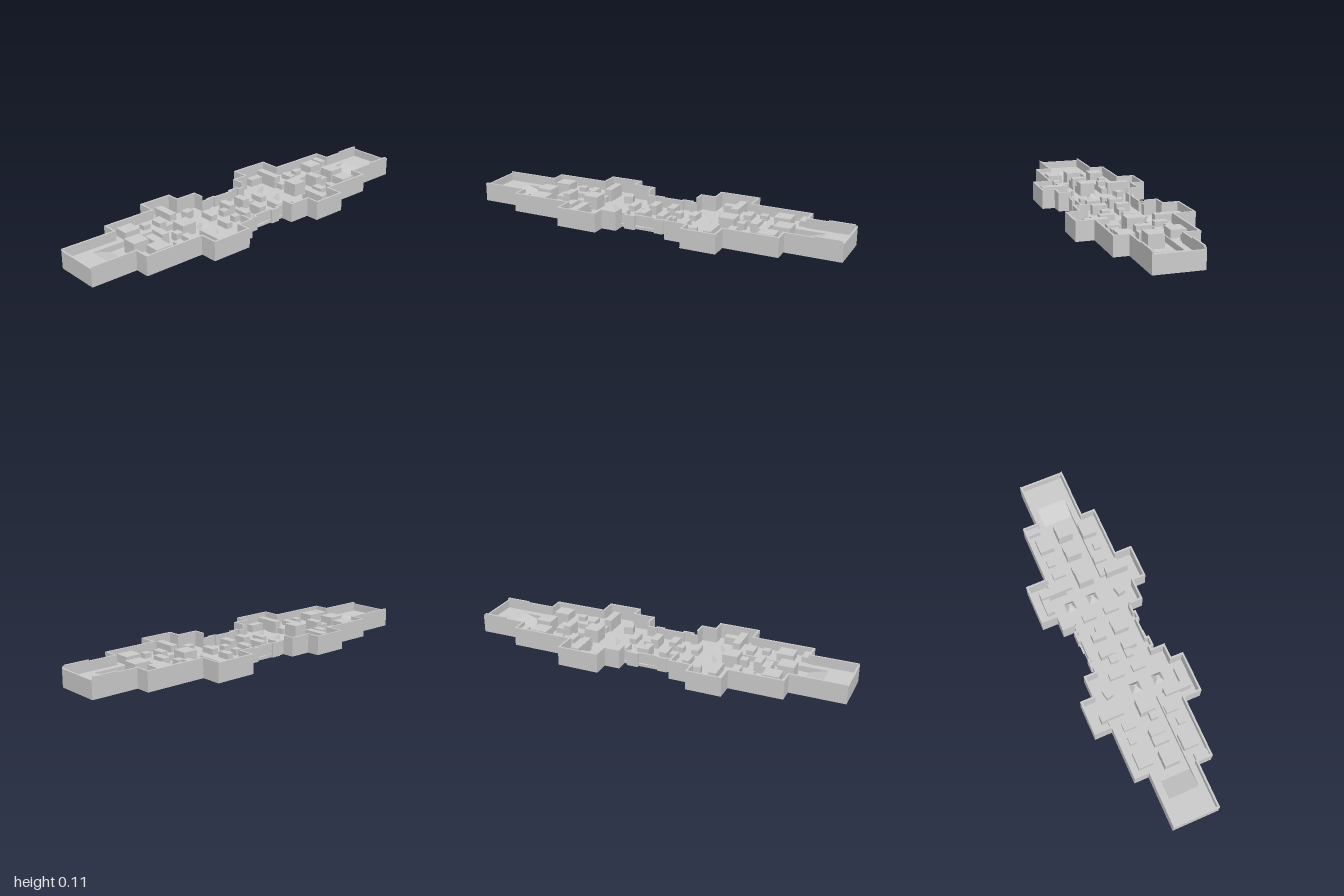
import * as THREE from 'three';

const LOW = 0.02, HIGH = 0.05;   // central floor and raised floor levels
const T = 0.01;                  // wall thickness

export function createModel() {
  const model = new THREE.Group();
  const solid = new THREE.MeshStandardMaterial({ color: 0xcccccc });
  const sheet = new THREE.MeshStandardMaterial({ color: 0xcccccc, side: THREE.DoubleSide });

  const add = (parent, name, geo, mat = solid) => {
    const mesh = new THREE.Mesh(geo, mat);
    mesh.name = name;
    parent.add(mesh);
    return mesh;
  };

  // The arena repeats after half a turn about x = 0.009
  const place = (turn, x, z) => turn
    ? [Math.max(-0.3, Math.min(0.3, 0.018 - x)), -z]
    : [x, z];

  // Perimeter of the back half: x, z, height of the wall that starts there
  const halfOutline = [
    [-0.15, -0.055, 0.075], [-0.165, -0.055, 0.075], [-0.165, -0.115, 0.075],
    [-0.15, -0.115, 0.075], [-0.15, -0.135, 0.1], [-0.215, -0.135, 0.1],
    [-0.215, -0.215, 0.1], [-0.3, -0.215, 0.1], [-0.3, -0.435, 0.1],
    [-0.19, -0.435, 0.1], [-0.19, -0.757, 0.1], [-0.112, -0.757, 0.1],
    [-0.112, -1, 0.09], [0.132, -1, 0.1], [0.132, -0.715, 0.1],
    [0.208, -0.715, 0.1], [0.208, -0.435, 0.1], [0.3, -0.435, 0.1],
    [0.3, -0.25, 0.1], [0.232, -0.25, 0.1], [0.232, -0.135, 0.1],
    [0.165, -0.135, 0.075], [0.165, -0.1, 0.075], [0.177, -0.1, 0.075],
    [0.177, -0.05, 0.075], [0.165, -0.05, 0.075],
  ];
  const outline = [false, true].flatMap(turn =>
    halfOutline.map(([x, z, h]) => [...place(turn, x, z), h]));
  // Align the two half turns across the middle
  const n = outline.length;
  outline.forEach((p, i) => { if (Math.abs(p[0] - 0.168) < 0.004) p[0] = 0.165;
    if (Math.abs(p[0] + 0.147) < 0.004) p[0] = -0.15; });

  const inward = i => {
    const a = outline[i % n], b = outline[(i + 1) % n];
    return [-Math.sign(b[1] - a[1]), Math.sign(b[0] - a[0])];
  };
  const inset = i => {
    const u = inward((i + n - 1) % n), v = inward(i);
    const clampUnit = s => Math.max(-1, Math.min(1, s));
    const p = outline[i % n];
    return [p[0] + clampUnit(u[0] + v[0]) * T, p[1] + clampUnit(u[1] + v[1]) * T];
  };
  const walls = new THREE.Group();
  walls.name = 'perimeterWalls';
  model.add(walls);
  for (let i = 0; i < n; i++) {
    const j = (i + 1) % n;
    const corners = [outline[i], outline[j], inset(j), inset(i)];
    const shape = new THREE.Shape(corners.map(([x, z]) => new THREE.Vector2(x, -z)));
    const geo = new THREE.ExtrudeGeometry(shape, { depth: outline[i][2], bevelEnabled: false });
    add(walls, 'wall', geo.rotateX(-Math.PI / 2));
  }
  // Raised rims at the back end
  for (const x of [-0.107, 0.127]) {
    add(walls, 'endRim', new THREE.BoxGeometry(T, 0.02, 0.13).translate(x, 0.096, -0.925));
  }

  // Floors, x0, x1, z0, z1, height
  const floors = [
    [-0.16, 0.172, -0.136, 0, LOW], [-0.215, 0.232, -0.36, -0.135, LOW],
    [-0.3, -0.19, -0.435, -0.215, LOW], [0.208, 0.3, -0.435, -0.25, LOW],
    [-0.07, 0.09, -0.76, -0.36, LOW],
    [-0.19, -0.07, -0.757, -0.36, HIGH], [-0.112, -0.07, -0.86, -0.757, HIGH],
    [0.09, 0.208, -0.715, -0.36, HIGH], [0.09, 0.132, -0.86, -0.715, HIGH],
    [-0.112, 0.132, -1, -0.86, HIGH],
  ];
  // Upright faces between floor levels, x0, z0, x1, z1
  const risers = [
    [-0.07, -0.76, -0.07, -0.36], [0.09, -0.76, 0.09, -0.36],
    [-0.19, -0.36, -0.07, -0.36], [0.09, -0.36, 0.208, -0.36],
    [-0.19, -0.435, -0.19, -0.36], [0.208, -0.435, 0.208, -0.36],
  ];
  // Blocks, x0, x1, z0, z1, bottom, top
  const blocks = [
    // raised sides
    [-0.19, -0.11, -0.755, -0.71, HIGH, 0.08],
    [-0.155, -0.077, -0.675, -0.59, HIGH, 0.09], [0.09, 0.167, -0.675, -0.59, HIGH, 0.09],
    [-0.145, -0.108, -0.545, -0.505, HIGH, 0.075], [0.12, 0.155, -0.545, -0.505, HIGH, 0.075],
    [-0.145, -0.077, -0.47, -0.43, HIGH, 0.075], [0.09, 0.155, -0.47, -0.43, HIGH, 0.075],
    // dividing walls
    [-0.25, -0.11, -0.385, -0.345, LOW, 0.085], [0.12, 0.24, -0.385, -0.345, LOW, 0.085],
    [-0.25, -0.21, -0.345, -0.265, LOW, 0.06],
    // trench
    [-0.035, 0.045, -0.715, -0.63, LOW, 0.09],
    [-0.035, 0.045, -0.55, -0.51, LOW, 0.085], [-0.035, 0.045, -0.595, -0.55, LOW, 0.065],
    [-0.035, 0.045, -0.425, -0.345, LOW, 0.09], [-0.035, 0.005, -0.465, -0.425, LOW, 0.06],
    // middle
    [-0.09, -0.018, -0.192, -0.155, LOW, 0.05], [0.03, 0.108, -0.192, -0.155, LOW, 0.05],
    [-0.09, -0.018, -0.07, -0.03, LOW, 0.07], [-0.055, -0.018, -0.11, -0.07, LOW, 0.05],
    [0.03, 0.108, -0.07, -0.03, LOW, 0.07], [0.03, 0.07, -0.11, -0.07, LOW, 0.05],
  ];

  const quad = points => {
    const geo = new THREE.BufferGeometry();
    geo.setAttribute('position', new THREE.Float32BufferAttribute(points.flat(), 3));
    geo.setIndex([0, 1, 2, 0, 2, 3]);
    geo.computeVertexNormals();
    return geo;
  };

  for (const turn of [false, true]) {
    const half = new THREE.Group();
    half.name = turn ? 'frontHalf' : 'backHalf';
    model.add(half);
    const at = (x, y, z) => { const [px, pz] = place(turn, x, z); return [px, y, pz]; };

    for (const [x0, x1, z0, z1, y] of floors) {
      add(half, 'floor', quad([at(x0, y, z0), at(x0, y, z1), at(x1, y, z1), at(x1, y, z0)]), sheet);
    }
    for (const [x0, z0, x1, z1] of risers) {
      add(half, 'floorStep', quad([at(x0, LOW, z0), at(x1, LOW, z1), at(x1, HIGH, z1), at(x0, HIGH, z0)]), sheet);
    }
    // Ramp out of the trench with its triangular cheeks
    add(half, 'ramp', quad([at(-0.07, HIGH, -0.86), at(-0.07, LOW, -0.76),
      at(0.09, LOW, -0.76), at(0.09, HIGH, -0.86)]), sheet);
    for (const x of [-0.07, 0.09]) {
      add(half, 'rampCheek', quad([at(x, HIGH, -0.86), at(x, LOW, -0.76),
        at(x, HIGH, -0.76), at(x, HIGH, -0.81)]), sheet);
    }
    for (const [x0, x1, z0, z1, y0, y1] of blocks) {
      const geo = new THREE.BoxGeometry(x1 - x0, y1 - y0, z1 - z0);
      add(half, 'block', geo).position.set(...at((x0 + x1) / 2, (y0 + y1) / 2, (z0 + z1) / 2));
    }
    // Small pyramids and a turned crate in the open yard
    for (const x of [-0.12, 0.005]) {
      const geo = new THREE.CylinderGeometry(0.012, 0.038, 0.03, 4).toNonIndexed();
      geo.computeVertexNormals();
      const pyramid = add(half, 'pyramid', geo);
      pyramid.position.set(...at(x, LOW + 0.015, -0.27));
      pyramid.rotation.y = Math.PI / 4;
    }
    const crate = add(half, 'turnedCrate', new THREE.BoxGeometry(0.04, 0.04, 0.05));
    crate.position.set(...at(0.15, LOW + 0.02, -0.25));
    crate.rotation.y = 0.2;
  }
  return model;
}
